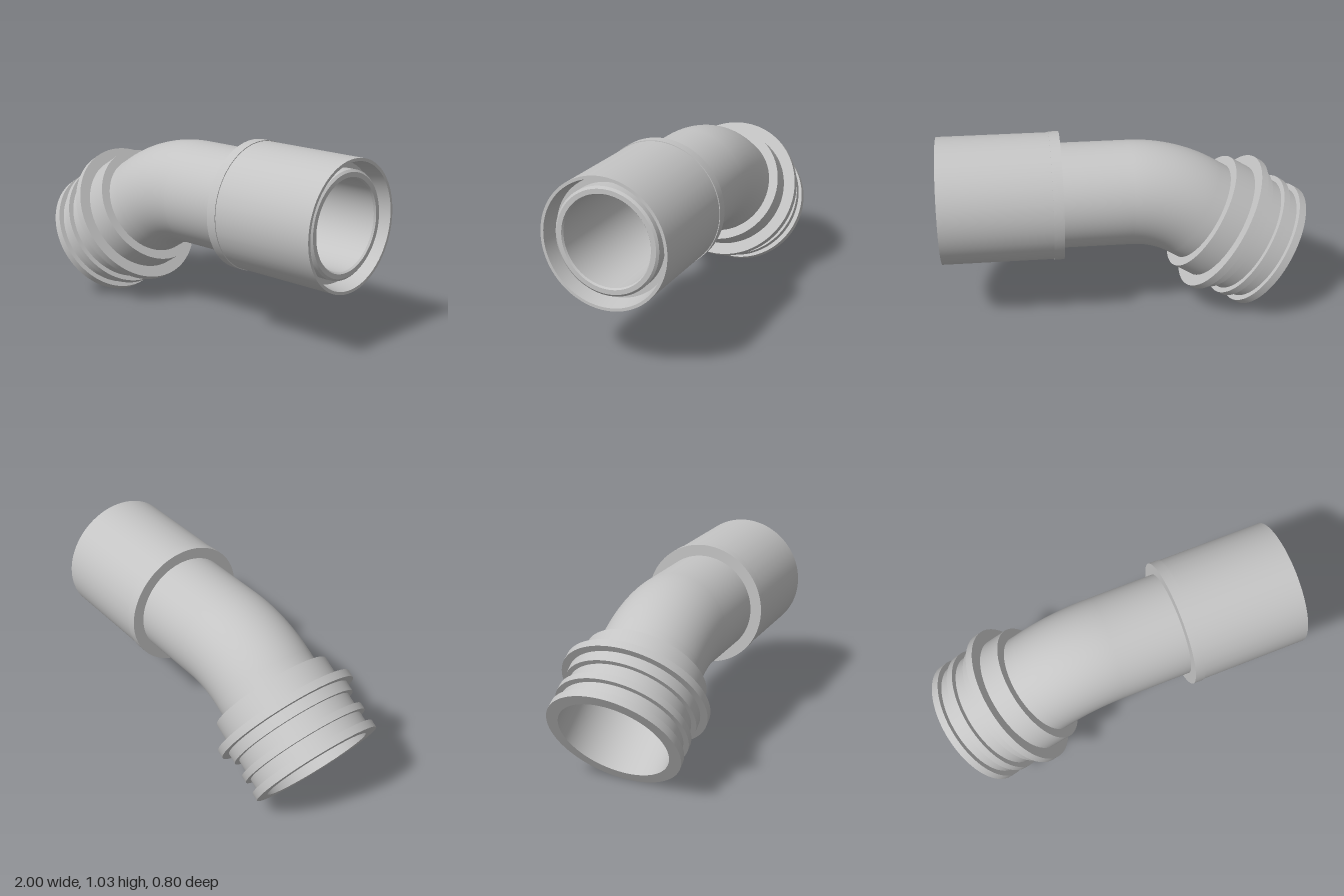
import * as THREE from 'three';
import { toCreasedNormals } from 'three/addons/utils/BufferGeometryUtils.js';

const SEGMENTS = 96;
const AXIS_Y = 0.69;                 // height of the straight pipe's axis
const BEND = THREE.MathUtils.degToRad(32);
const TANGENT = 0.18;                // bend start to corner of the axes
const BEND_RADIUS = TANGENT / Math.tan(BEND / 2);
const CORNER_X = -0.21;
const OUTER = 0.285, BORE = 0.238;
const NECK = 0.526;                  // length of the threaded end up to the bend

export function createModel() {
  const group = new THREE.Group();
  const grey = new THREE.MeshStandardMaterial({ color: 0xc4c4c4, side: THREE.DoubleSide });

  const add = (name, geometry) => {
    const mesh = new THREE.Mesh(geometry, grey);
    mesh.name = name;
    group.add(mesh);
    return mesh;
  };
  // profile points are [radius, distance along the axis]
  const turned = (profile) => toCreasedNormals(
    new THREE.LatheGeometry(profile.map(([r, h]) => new THREE.Vector2(r, h)), SEGMENTS), 0.4);

  // straight pipe with its outer sleeve, recessed groove and inner lip
  const bendStart = CORNER_X + TANGENT;
  const sleeve = add('sleevedPipe', turned([
    [OUTER, bendStart], [OUTER, 0.345],
    [0.348, 0.345], [0.348, 0.4], [0.344, 0.4], [0.344, 1],
    [0.328, 1], [0.312, 0.9], [0.282, 0.9], [0.282, 0.96],
    [0.27, 0.97], [0.245, 0.97], [BORE, 0.96], [BORE, bendStart],
  ]));
  sleeve.rotation.z = -Math.PI / 2;
  sleeve.position.y = AXIS_Y;

  // elbow: outer skin and bore
  for (const [name, radius] of [['elbowOuter', OUTER], ['elbowBore', BORE]]) {
    const elbow = add(name, new THREE.TorusGeometry(BEND_RADIUS, radius, SEGMENTS, 24, BEND));
    elbow.rotation.z = Math.PI / 2;
    elbow.position.set(bendStart, AXIS_Y - BEND_RADIUS, 0);
  }

  // ribbed end fitting with a widened mouth, flange and collar
  const fitting = add('ribbedFitting', turned([
    [BORE, NECK], [BORE, 0.36], [0.3, 0.33], [0.3, 0],
    [0.364, 0], [0.364, 0.043], [0.335, 0.043],
    [0.335, 0.11], [0.364, 0.11], [0.364, 0.148], [0.335, 0.148],
    [0.335, 0.225], [0.362, 0.225], [0.362, 0.284],
    [0.402, 0.284], [0.402, 0.327], [0.337, 0.327],
    [0.337, 0.45], [OUTER, 0.45], [OUTER, NECK],
  ]));
  const reach = NECK + TANGENT;
  fitting.rotation.z = BEND - Math.PI / 2;
  fitting.position.set(CORNER_X - reach * Math.cos(BEND), AXIS_Y - reach * Math.sin(BEND), 0);

  return group;
}
